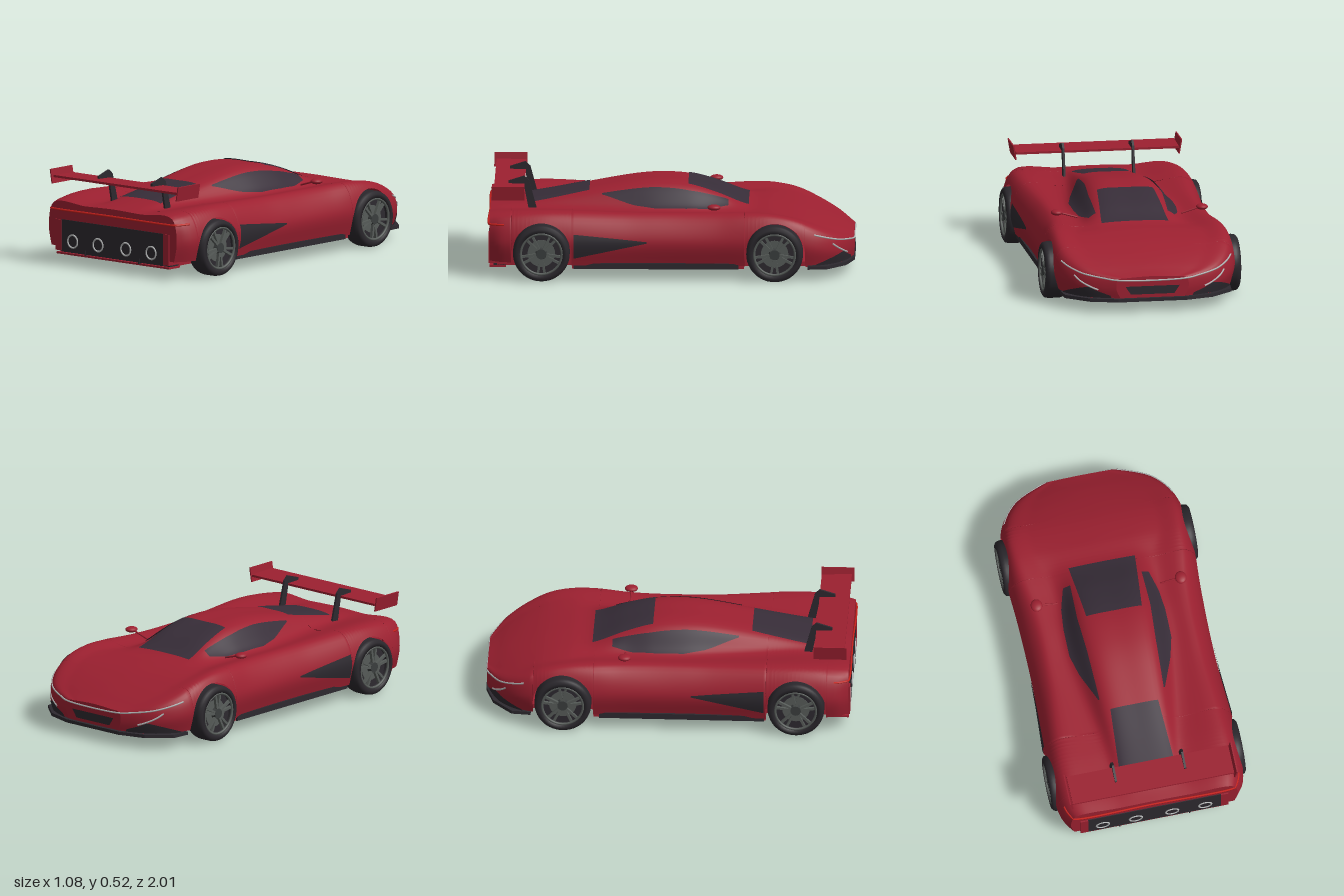
import * as THREE from 'three';

const mat = (name, color, double = true) => {
  const m = new THREE.MeshStandardMaterial({ color, side: double ? THREE.DoubleSide : THREE.FrontSide });
  m.name = name;
  return m;
};
const red = mat('paint red', 0x9c2030), carbon = mat('carbon black', 0x2d292f), glass = mat('tinted glass', 0x372d38);
const rubber = mat('tyre rubber', 0x2a272c), alloy = mat('dark alloy', 0x3a3d3d), steel = mat('disc grey', 0x565b58);
const lamp = mat('lamp silver', 0xb4b6b6), tailRed = mat('tail lamp red', 0xc8201c);

// Stations nose to tail: z, flank x, shoulder x, y, cabin base x, y, roof edge x, y, centre y
const ST = [
  [-0.995, .20, .19, .19, .13, .198, .07, .202, .204],
  [-0.95, .32, .30, .205, .21, .215, .1, .222, .224],
  [-0.9, .40, .375, .228, .26, .24, .13, .247, .25],
  [-0.8, .475, .44, .275, .31, .285, .16, .29, .292],
  [-0.68, .51, .465, .328, .34, .328, .17, .33, .332],
  [-0.55, .52, .465, .356, .34, .35, .18, .354, .357],
  [-0.42, .52, .455, .362, .30, .348, .175, .366, .372],
  [-0.25, .51, .43, .358, .278, .348, .175, .425, .438],
  [-0.09, .505, .42, .356, .287, .355, .172, .465, .48],
  [0.08, .503, .42, .356, .287, .355, .167, .474, .49],
  [0.25, .506, .425, .357, .265, .355, .16, .458, .473],
  [0.65, .528, .455, .37, .212, .352, .14, .39, .4],
  [0.8, .525, .455, .366, .2, .347, .13, .367, .374],
  [0.93, .505, .445, .352, .2, .347, .1, .352, .354],
  [0.99, .465, .43, .342, .2, .343, .1, .346, .348],
];
const WHEELS = [-0.567, 0.706], AXLE_Y = 0.158, ARCH = 0.165;
const lerp = THREE.MathUtils.lerp;

// Smooth interpolation of the station columns along z
function station(z) {
  let i = 0;
  while (i < ST.length - 2 && z > ST[i + 1][0]) i++;
  const a = ST[i], b = ST[i + 1], p = ST[Math.max(i - 1, 0)], n = ST[Math.min(i + 2, ST.length - 1)];
  const h = b[0] - a[0], s = (z - a[0]) / h, s2 = s * s, s3 = s2 * s;
  return a.map((v, k) => {
    const m0 = (b[k] - p[k]) / (b[0] - p[0]), m1 = (n[k] - a[k]) / (n[0] - a[0]);
    return (2 * s3 - 3 * s2 + 1) * v + (s3 - 2 * s2 + s) * h * m0 + (3 * s2 - 2 * s3) * b[k] + (s3 - s2) * h * m1;
  });
}
// Full cross-section from the left sill over the roof to the right sill
function section(z) {
  const [, w, ws, ys, xb, yb, xr, yr, yt] = station(z);
  const half = [[w - .025, .08], [w, lerp(.08, ys, .53)], [ws, ys], [xb, yb], [xr, yr]];
  const pts = [...half, [0, yt], ...half.slice().reverse().map(([x, y]) => [-x, y])];
  return new THREE.CatmullRomCurve3(pts.map(([x, y]) => new THREE.Vector3(x, y, z)));
}
function solve(curve, lo, hi, before) {
  for (let k = 0; k < 22; k++) {
    const m = (lo + hi) / 2;
    if (before(curve.getPoint(m))) lo = m; else hi = m;
  }
  return lo;
}
// Points on the skin: the flank at a height, the upper side at a width
const flank = (y, z) => { const c = section(z); return c.getPoint(solve(c, 0, .2, p => p.y < y)); };
const upper = (x, z) => {
  const c = section(z), p = c.getPoint(solve(c, .2, .5, q => q.x > Math.abs(x)));
  return x < 0 ? p.setX(-p.x) : p;
};
function bottomEdge(z) {
  for (const c of WHEELS) {
    const d = Math.abs(z - c);
    if (d < ARCH - 1e-5) return AXLE_Y + Math.sqrt(ARCH * ARCH - d * d);
  }
  return z > .8 ? .105 : .088;
}
function grid(rows) {
  const n = rows[0].length, index = [];
  for (let i = 0; i < rows.length - 1; i++) for (let j = 0; j < n - 1; j++) {
    const a = i * n + j;
    index.push(a, a + 1, a + n, a + 1, a + n + 1, a + n);
  }
  const g = new THREE.BufferGeometry().setFromPoints(rows.flat());
  g.setIndex(index);
  g.computeVertexNormals();
  return g;
}
const patch = (nu, nv, fn) => grid(Array.from({ length: nu + 1 }, (_, i) =>
  Array.from({ length: nv + 1 }, (_, j) => fn(i / nu, j / nv))));
// Value at s on a line through [s, value] pairs
function along(pairs, s) {
  let i = 0;
  while (i < pairs.length - 2 && s > pairs[i + 1][0]) i++;
  return THREE.MathUtils.mapLinear(s, pairs[i][0], pairs[i + 1][0], pairs[i][1], pairs[i + 1][1]);
}
const V = (x, y, z) => new THREE.Vector3(x, y, z);
const tube = (pts, r) => new THREE.TubeGeometry(new THREE.CatmullRomCurve3(pts), 60, r, 6);

export function createModel() {
  const car = new THREE.Group();
  car.name = 'sportsCar';
  const add = (name, geo, m, x = 0, y = 0, z = 0, parent = car) => {
    const mesh = new THREE.Mesh(geo, m);
    mesh.name = name;
    mesh.position.set(x, y, z);
    parent.add(mesh);
    return mesh;
  };
  const box = (name, w, h, d, m, x, y, z) => add(name, new THREE.BoxGeometry(w, h, d), m, x, y, z);
  const both = (name, geo, m) => { add(name + 'Left', geo, m); add(name + 'Right', geo, m).scale.x = -1; };
  // Flat plate from a half outline of [x, z], mirrored
  const plate = (name, half, y, h, m) => {
    const pts = [...half, ...half.slice().reverse().map(([x, z]) => [-x, z])];
    const g = new THREE.ExtrudeGeometry(new THREE.Shape(pts.map(([x, z]) => new THREE.Vector2(x, -z))), { depth: h, bevelEnabled: false });
    add(name, g.rotateX(-Math.PI / 2), m, 0, y, 0);
  };

  // Body skin with wheel arches
  const zs = [];
  for (let i = 0; i <= 90; i++) zs.push(lerp(-0.995, 0.99, i / 90));
  for (const c of WHEELS) for (let k = 0; k <= 24; k++) {
    const d = -Math.cos(k / 24 * Math.PI) * ARCH;
    zs.push(c + d * .9998);
    if (k % 24 === 0) zs.push(c + d * 1.0005);
  }
  zs.sort((a, b) => a - b);
  const rows = zs.map(z => {
    const c = section(z), t0 = solve(c, 0, .2, p => p.y < bottomEdge(z));
    return Array.from({ length: 65 }, (_, j) => c.getPoint(lerp(t0, 1 - t0, j / 64)));
  });
  add('bodySkin', grid(rows), red);
  for (const [name, r] of [['nosePanel', rows[0]], ['tailPanel', rows[rows.length - 1]]])
    add(name, new THREE.ShapeGeometry(new THREE.Shape(r.map(p => new THREE.Vector2(p.x, p.y)))), red, 0, 0, r[0].z);

  // Underside and sills
  plate('floor', [[.18, -.98], [.33, -.93], [.43, -.82], [.43, -.735], [.4, -.735], [.4, -.4], [.485, -.4], [.485, .54], [.4, .54], [.4, .95]], .07, .025, red);
  box('innerTub', .8, .19, 1.62, red, 0, .17, .12);
  for (const s of [-1, 1]) box('sideSill', .04, .032, .9, carbon, s * .475, .085, .08);
  plate('frontSplitter', [[.19, -1], [.34, -.955], [.46, -.85], [.47, -.745], [.4, -.745], [.3, -.9]], .064, .018, carbon);

  // Windows
  const topWindow = (name, z0, z1, w0, w1) => add(name, patch(16, 20, (u, v) => {
    const w = lerp(w0, w1, u), p = upper(lerp(w, -w, v), lerp(z0, z1, u));
    return p.setY(p.y + .005);
  }), glass);
  topWindow('windscreen', -.42, -.09, .185, .155);
  topWindow('rearWindow', .45, .77, .133, .152);
  const outer = [[-.31, .235], [-.2, .268], [-.08, .28], [.08, .28], [.2, .25], [.38, .182]];
  const inner = [[-.31, .195], [-.1, .2], [.1, .187], [.38, .175]];
  both('sideWindow', patch(30, 8, (u, v) => {
    const z = lerp(-.31, .38, u), p = upper(lerp(along(outer, z), along(inner, z), v), z);
    return p.add(V(.004, .004, 0));
  }), glass);

  // Flank and nose intakes
  const flankPatch = (name, z0, z1, lo, hi, m) => both(name, patch(20, 6, (u, v) => {
    const z = lerp(z0, z1, u), p = flank(lerp(along(lo, z), along(hi, z), v), z);
    return p.setX(p.x + .005);
  }), m);
  flankPatch('sideIntake', .13, .53, [[.13, .215], [.53, .13]], [[.13, .222], [.53, .265]], carbon);
  flankPatch('noseIntake', -.98, -.79, [[-1, .085], [-.78, .085]], [[-.98, .1], [-.94, .145], [-.79, .09]], carbon);
  add('noseGrille', new THREE.ShapeGeometry(new THREE.Shape([[-.15, .15], [.15, .15], [.12, .105], [-.12, .105]].map(p => new THREE.Vector2(...p)))), carbon, 0, 0, -.998);

  // Lamps
  const edge = (z0, z1, y0, y1) => Array.from({ length: 9 }, (_, i) => flank(lerp(y0, y1, i / 8), lerp(z0, z1, i / 8)));
  const lampSide = edge(-.78, -.993, .257, .187);
  const mirrored = pts => pts.slice().reverse().map(p => V(-p.x, p.y, p.z));
  add('noseLightStrip', tube([...lampSide, V(0, .18, -.995), ...mirrored(lampSide)], .005), lamp);
  both('noseSlashLight', tube(edge(-.88, -.96, .2, .13), .005), lamp);
  const tailSide = edge(.91, .988, .31, .308);
  add('tailLightStrip', tube([...tailSide, V(0, .308, .992), ...mirrored(tailSide)], .006), tailRed);

  // Tail panel, exhausts and diffuser
  box('exhaustPanel', .74, .178, .06, carbon, 0, .165, .964);
  for (const x of [-.288, -.104, .098, .282]) {
    add('exhaustRing', new THREE.TorusGeometry(.035, .005, 8, 32), lamp, x, .139, .994);
  }
  for (const s of [-1, 1]) {
    box('tailPillar', .042, .17, .08, red, s * .391, .167, .957);
    box('diffuserFin', .006, .03, .08, carbon, s * .195, .085, .958);
  }
  box('diffuser', .82, .01, .09, red, 0, .066, .945);
  box('diffuserLip', .8, .02, .07, carbon, 0, .08, .935);

  // Rear wing
  const wing = box('wingBlade', .9, .012, .165, red, 0, .478, .885);
  wing.rotation.x = -.03;
  const strut = new THREE.Shape([[.735, .34], [.78, .34], [.805, .468], [.89, .484], [.89, .498], [.805, .525], [.778, .5]].map(([z, y]) => new THREE.Vector2(-z, y)));
  for (const s of [-1, 1]) {
    box('wingEndPlate', .007, .08, .18, red, s * .458, .48, .89).rotation.z = -s * .17;
    add('wingStrut', new THREE.ExtrudeGeometry(strut, { depth: .012, bevelEnabled: false }).rotateY(Math.PI / 2), carbon, s * .193 - .006);
  }

  // Door mirrors
  for (const s of [-1, 1]) {
    add('mirrorShell', new THREE.SphereGeometry(1, 20, 12), red, s * .402, .395, -.235).scale.set(.032, .016, .036);
    add('mirrorArm', new THREE.CylinderGeometry(.005, .005, .12, 8), red, s * .345, .38, -.235).rotation.z = -s * 1.28;
  }

  // Wheels
  const profile = [[.1, -.055], [.138, -.057], [.151, -.048], [.155, -.03], [.155, .03], [.151, .048], [.138, .057], [.118, .057], [.114, .025]];
  const tyre = new THREE.LatheGeometry(profile.map(p => new THREE.Vector2(...p)), 48);
  const disc = new THREE.CylinderGeometry(.116, .116, .07, 40);
  const rim = new THREE.TorusGeometry(.112, .007, 8, 40).rotateX(Math.PI / 2);
  const hub = new THREE.CylinderGeometry(.028, .034, .03, 20);
  const spoke = new THREE.BoxGeometry(.09, .016, .013).translate(.068, 0, 0);
  for (const z of WHEELS) for (const s of [-1, 1]) {
    const wheel = new THREE.Group();
    wheel.name = 'wheel';
    wheel.position.set(s * .483, AXLE_Y, z);
    wheel.rotation.z = -s * Math.PI / 2;
    add('tyre', tyre, rubber, 0, 0, 0, wheel);
    add('wheelDish', disc, carbon, 0, -.012, 0, wheel);
    add('brakeDisc', new THREE.CylinderGeometry(.075, .075, .01, 32), steel, 0, .023, 0, wheel);
    add('rimRing', rim, steel, 0, .05, 0, wheel);
    add('hub', hub, alloy, 0, .037, 0, wheel);
    for (let k = 0; k < 5; k++) for (const d of [-.17, .17])
      add('spoke', spoke, steel, 0, .042, 0, wheel).rotation.y = k * Math.PI * .4 + d;
    car.add(wheel);
  }
  return car;
}
